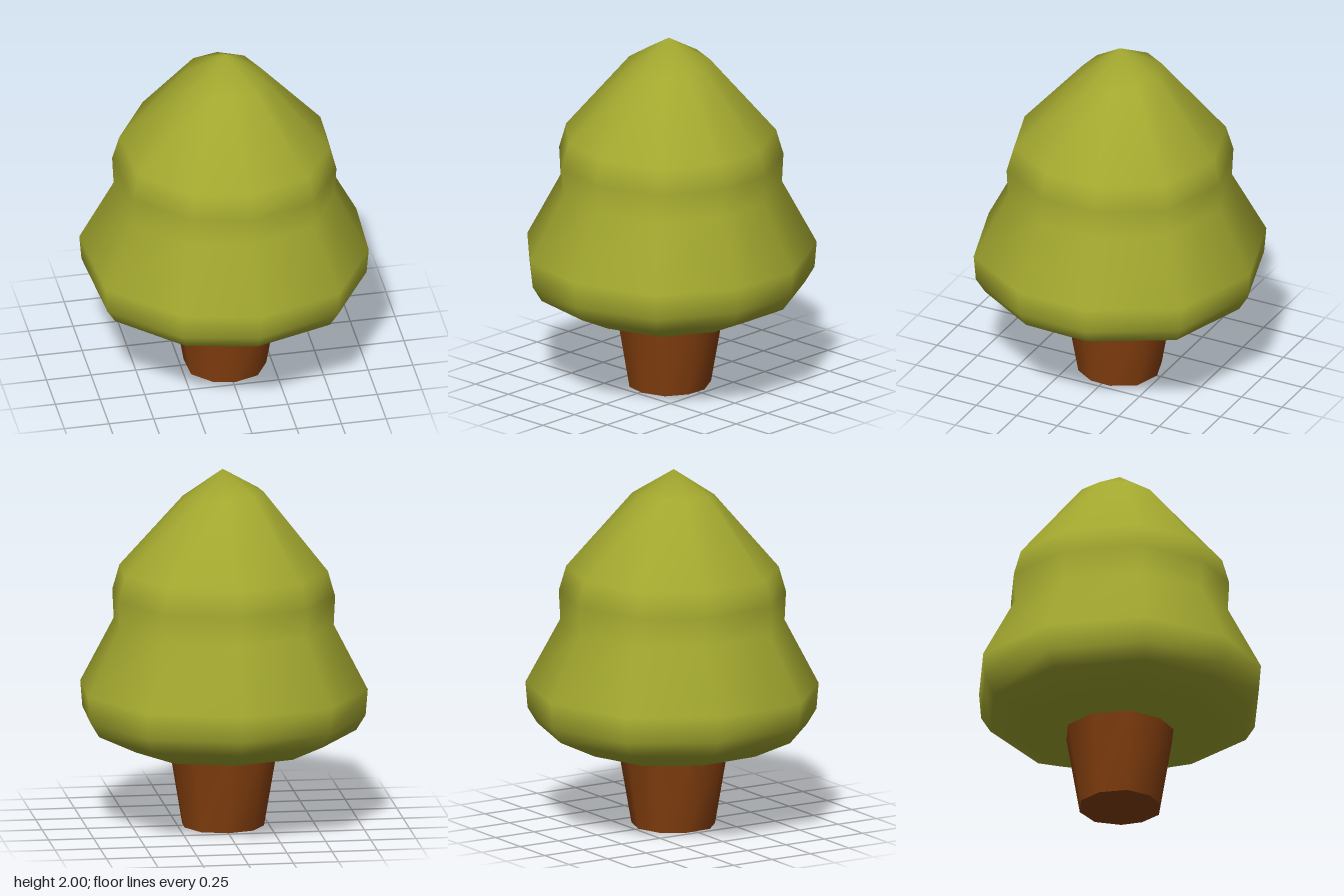
import * as THREE from 'three';
import { mergeVertices, toCreasedNormals } from 'three/addons/utils/BufferGeometryUtils.js';

// Irregular ten-sided outline [x, z], shared by foliage and trunk
const OUTLINE = [
  [0, -0.8], [0.51, -0.64], [0.77, -0.18], [0.755, 0.24], [0.51, 0.64],
  [0.04, 0.79], [-0.38, 0.7], [-0.74, 0.35], [-0.775, -0.205], [-0.51, -0.64],
];

// Loft the outline through rings of [scale, y, tilt]; scale 0 closes to a point
function loft(rings) {
  const n = OUTLINE.length;
  const positions = [];
  const index = [];
  for (const [s, y, tilt = 0] of rings) {
    for (const [x, z] of OUTLINE) positions.push(x * s, y - tilt * s * (x + z), z * s);
  }
  for (let r = 0; r < rings.length - 1; r++) {
    for (let i = 0; i < n; i++) {
      const a = r * n + i, b = r * n + (i + 1) % n;
      if (rings[r][0] > 0) index.push(a, a + n, b);
      if (rings[r + 1][0] > 0) index.push(b, a + n, b + n);
    }
  }
  const geometry = new THREE.BufferGeometry();
  geometry.setAttribute('position', new THREE.Float32BufferAttribute(positions, 3));
  geometry.setIndex(index);
  const merged = mergeVertices(geometry);
  merged.computeVertexNormals();
  return merged;
}

export function createModel() {
  const leafGreen = new THREE.MeshStandardMaterial({ color: 0xa3a82f });
  leafGreen.name = 'leafGreen';
  const barkBrown = new THREE.MeshStandardMaterial({ color: 0x86400f });
  barkBrown.name = 'barkBrown';

  const tree = new THREE.Group();
  tree.name = 'tree';

  // Two-tiered soft foliage with a flat underside and a slightly tilted crown
  const foliage = new THREE.Mesh(loft([
    [0, 0.445], [0.645, 0.445], [0.92, 0.55], [0.985, 0.635], [1, 0.78],
    [0.765, 1.14], [0.775, 1.3], [0.725, 1.44], [0.28, 1.86, 0.07], [0, 2],
  ]), leafGreen);
  foliage.name = 'foliage';

  // Trunk widening upward into the foliage, with a sharp-edged base
  const trunk = new THREE.Mesh(
    toCreasedNormals(loft([[0, 0], [0.285, 0], [0.385, 0.47], [0, 0.47]]), 1), barkBrown);
  trunk.name = 'trunk';

  tree.add(foliage, trunk);
  return tree;
}
